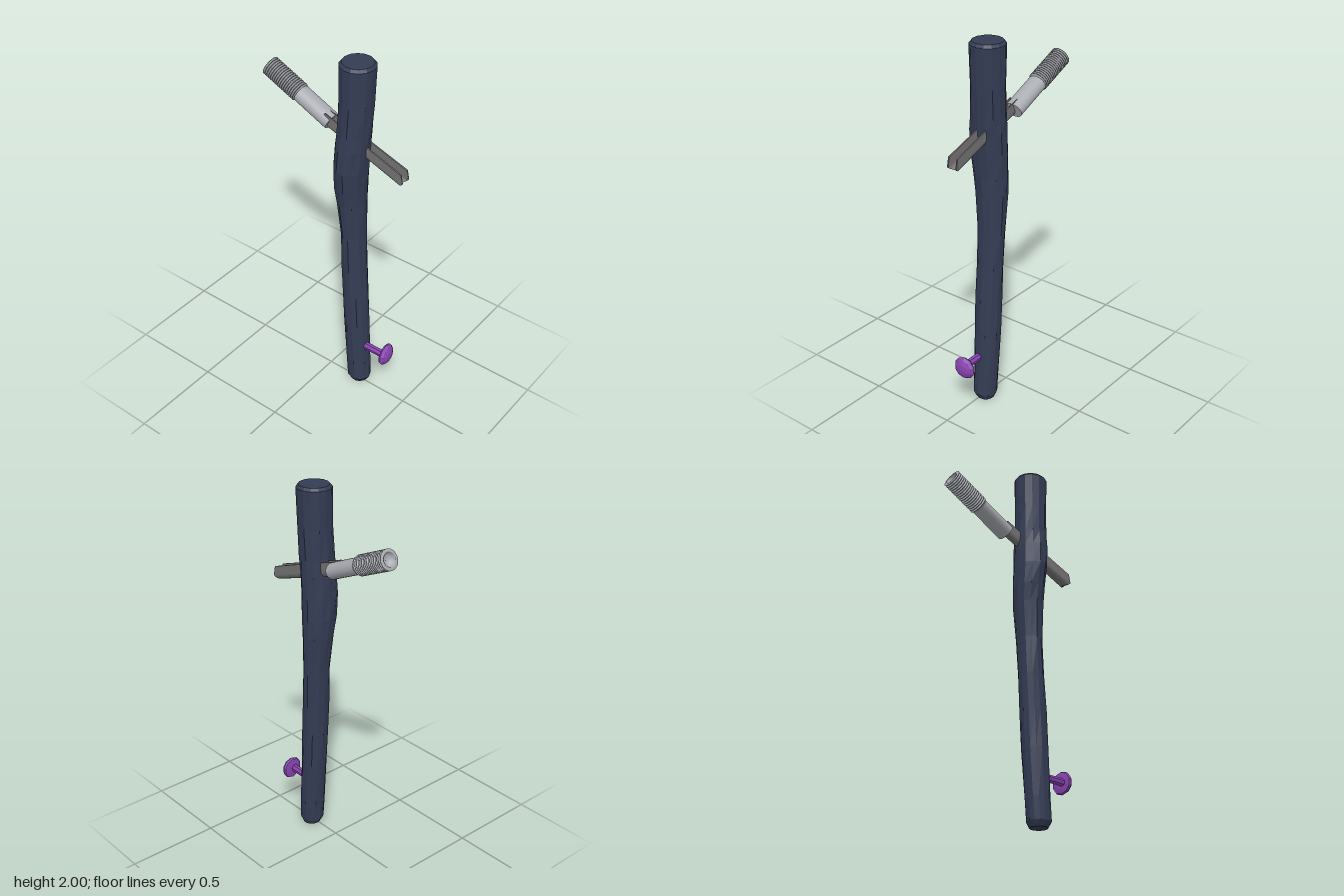
import * as THREE from 'three';

const mat = (name, color, side = THREE.FrontSide) => {
  const m = new THREE.MeshStandardMaterial({ color, side });
  m.name = name;
  return m;
};

export function createModel() {
  const bark = mat('darkBark', 0x343c54);
  const iron = mat('darkIron', 0x747272);
  const steel = mat('paleSteel', 0xa9abb2);
  const purple = mat('purpleCap', 0x8844b0);
  for (const m of [bark, iron, purple]) m.flatShading = true;

  const model = new THREE.Group();
  model.name = 'tappedTrunk';
  const add = (name, geometry, material, parent = model) => {
    const mesh = new THREE.Mesh(geometry, material);
    mesh.name = name;
    parent.add(mesh);
    return mesh;
  };

  // Trunk: rings of [y, xMin, xMax, zMin, zMax], slightly uneven round the sides
  const rings = [
    [0, -0.035, 0.06, 0.145, 0.24], [0.03, -0.053, 0.073, 0.128, 0.257],
    [0.15, -0.056, 0.077, 0.118, 0.251], [0.4, -0.059, 0.081, 0.1, 0.236],
    [0.6, -0.06, 0.081, 0.09, 0.226], [0.8, -0.061, 0.083, 0.08, 0.212],
    [1.0, -0.062, 0.09, 0.073, 0.2], [1.2, -0.076, 0.095, 0.052, 0.2],
    [1.3, -0.092, 0.096, 0.045, 0.204], [1.42, -0.106, 0.096, 0.045, 0.212],
    [1.54, -0.1, 0.094, 0.05, 0.22], [1.62, -0.09, 0.094, 0.056, 0.224],
    [1.78, -0.084, 0.096, 0.06, 0.233], [1.985, -0.083, 0.1, 0.058, 0.241],
    [2, -0.07, 0.088, 0.07, 0.229],
  ];
  const sides = 14, pos = [], index = [];
  rings.forEach(([y, x0, x1, z0, z1], j) => {
    for (let i = 0; i < sides; i++) {
      const a = (i / sides) * Math.PI * 2;
      const edge = j === 0 || j >= rings.length - 2;
      const k = edge ? 1 : 1 + 0.025 * Math.sin(i * 2.7 + j * 1.9);
      pos.push((x0 + x1) / 2 + ((x1 - x0) / 2) * k * Math.sin(a), y,
        (z0 + z1) / 2 + ((z1 - z0) / 2) * k * Math.cos(a));
    }
  });
  for (let j = 0; j < rings.length - 1; j++) {
    for (let i = 0; i < sides; i++) {
      const a = j * sides + i, b = j * sides + ((i + 1) % sides);
      index.push(a, b, b + sides, a, b + sides, a + sides);
    }
  }
  const last = (rings.length - 1) * sides;
  for (let i = 1; i < sides - 1; i++) {
    index.push(0, i + 1, i, last, last + i, last + i + 1);
  }
  const trunkGeo = new THREE.BufferGeometry();
  trunkGeo.setAttribute('position', new THREE.Float32BufferAttribute(pos, 3));
  trunkGeo.setIndex(index);
  trunkGeo.computeVertexNormals();
  add('trunk', trunkGeo, bark);

  // Spout: a U-shaped trough running down through the trunk
  const u = new THREE.Shape();
  u.moveTo(0.03, 0.037);
  u.lineTo(0.03, -0.007);
  u.absarc(0, -0.007, 0.03, 0, -Math.PI, true);
  u.lineTo(-0.03, 0.037);
  u.lineTo(-0.022, 0.037);
  u.lineTo(-0.022, -0.007);
  u.absarc(0, -0.007, 0.022, -Math.PI, 0, false);
  u.lineTo(0.022, 0.037);
  const spoutGeo = new THREE.ExtrudeGeometry(u, { depth: 0.52, bevelEnabled: false, curveSegments: 8 });
  spoutGeo.translate(0, 0, -0.52);
  const p = spoutGeo.attributes.position;
  for (let i = 0; i < p.count; i++) {
    if (p.getZ(i) > -0.01) p.setZ(i, -20 * p.getY(i) ** 2); // pointed lip
    else p.setX(i, p.getX(i) * 0.75); // narrower at the back
  }
  spoutGeo.computeVertexNormals();
  const spout = add('spout', spoutGeo, iron);
  spout.position.set(0.018, 1.447, 0.44);
  spout.rotation.x = 0.34;

  // Barrel and threaded end, rising towards the back
  const tap = new THREE.Group();
  tap.name = 'threadedTap';
  tap.position.set(0.03, 1.6, -0.02);
  tap.rotation.x = -1.146;
  model.add(tap);
  const barrel = add('barrel', new THREE.CylinderGeometry(0.051, 0.051, 0.215, 24), steel, tap);
  barrel.position.y = 0.1075;
  barrel.scale.z = 0.84;

  const profile = [];
  const turns = 17, start = 0.213, pitch = 0.217 / turns;
  for (let i = 0; i < turns; i++) {
    const y = start + i * pitch;
    profile.push([0.041, y], [0.041, y + pitch * 0.45], [0.053, y + pitch * 0.65], [0.053, y + pitch * 0.85]);
  }
  const end = start + turns * pitch;
  profile.push([0.041, end], [0.034, end], [0.03, end - 0.03], [0, end - 0.03]);
  const threadGeo = new THREE.LatheGeometry(profile.map(([r, y]) => new THREE.Vector2(r, y)), 24);
  add('thread', threadGeo, steel, tap);

  // Domed peg on the lower front
  const peg = new THREE.Group();
  peg.name = 'domedPeg';
  peg.position.set(0.003, 0.267, 0.2);
  peg.rotation.x = Math.PI / 2;
  model.add(peg);
  const stem = add('pegStem', new THREE.CylinderGeometry(0.021, 0.021, 0.17, 7), purple, peg);
  stem.position.y = 0.085;
  const cap = [[0, 0.15], [0.035, 0.152], [0.058, 0.156], [0.063, 0.166], [0.052, 0.181], [0.03, 0.192], [0, 0.196]];
  const capMesh = add('pegCap', new THREE.LatheGeometry(cap.map(([r, y]) => new THREE.Vector2(r, y)), 10), purple, peg);
  capMesh.rotation.z = -0.06;

  return model;
}
